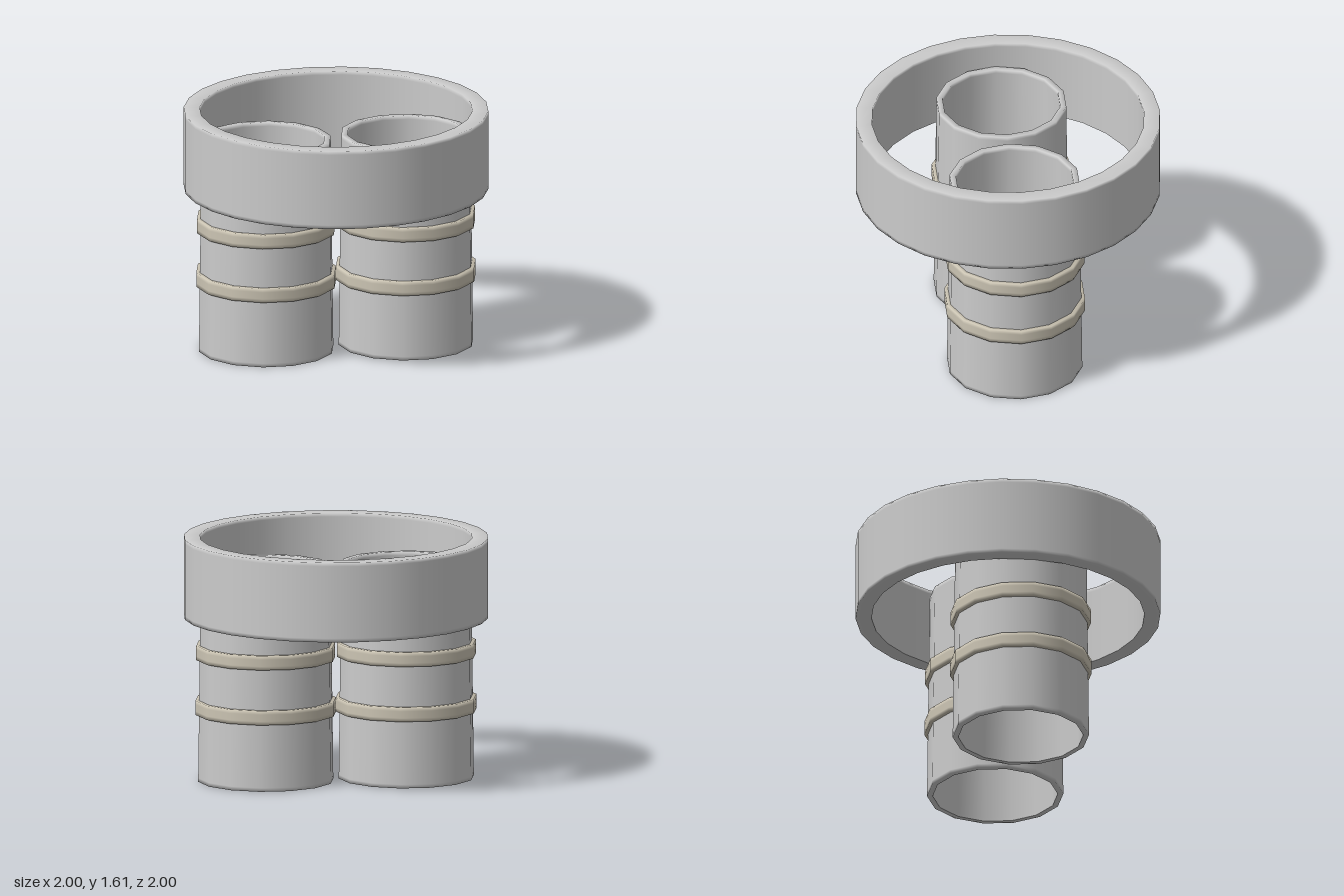
import * as THREE from 'three';

const grey = new THREE.MeshStandardMaterial({ color: 0xcccccc });
const beige = new THREE.MeshStandardMaterial({ color: 0xccc5b4 });

// Closed ring turned around y, from an outer and inner wall; softly shaded edges
function ring(name, y0, y1, outer0, outer1, inner0, inner1, sides, material) {
  const e = Math.min(0.025, (y1 - y0) / 3);
  const profile = [
    [inner0, y0], [outer0, y0], [outer0, y0 + e],
    [outer1, y1 - e], [outer1, y1],
    [inner1, y1], [inner1, y1 - e], [inner0, y0 + e], [inner0, y0],
  ].map(([r, y]) => new THREE.Vector2(r, y));
  const mesh = new THREE.Mesh(new THREE.LatheGeometry(profile, sides, Math.PI / 2), material);
  mesh.name = name;
  return mesh;
}

export function createModel() {
  const model = new THREE.Group();
  model.name = 'twinTubeViewer';

  // Wide hood around the tops of the tubes
  model.add(ring('hoodRing', 1.08, 1.61, 1, 1, 0.895, 0.895, 28, grey));

  // Two slightly tapering tubes, each with two raised bands
  for (const side of [1, -1]) {
    const tube = new THREE.Group();
    tube.name = side > 0 ? 'leftTube' : 'rightTube';
    tube.position.x = side * 0.465;
    tube.add(
      ring('tubeWall', 0, 1.43, 0.447, 0.43, 0.41, 0.39, 14, grey),
      ring('lowerBand', 0.445, 0.54, 0.465, 0.465, 0.425, 0.425, 14, beige),
      ring('upperBand', 0.81, 0.905, 0.46, 0.46, 0.42, 0.42, 14, beige),
    );
    model.add(tube);
  }
  return model;
}
